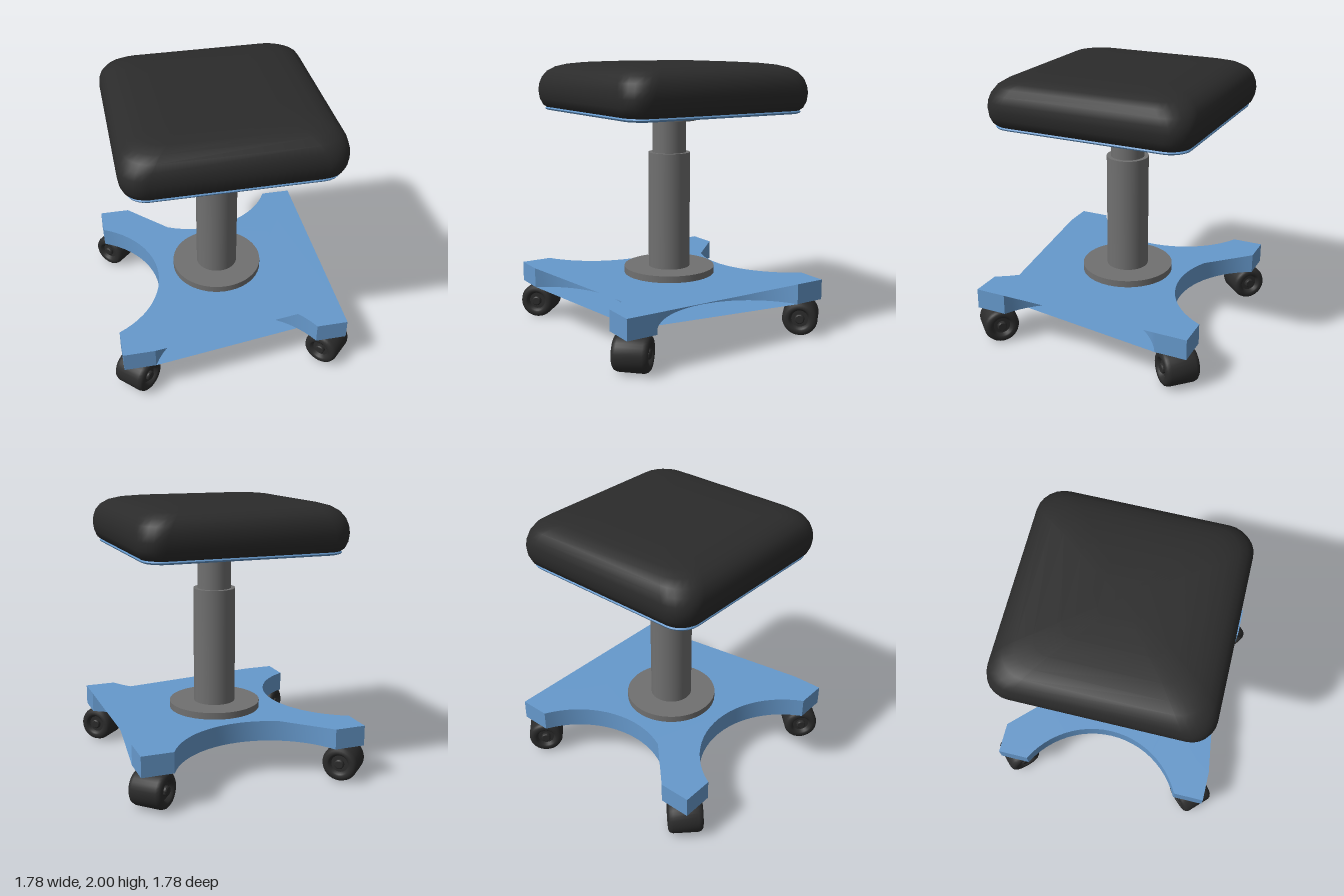
import * as THREE from 'three';
import { toCreasedNormals, mergeVertices } from 'three/addons/utils/BufferGeometryUtils.js';

export function createModel() {
  const model = new THREE.Group();
  const blue = new THREE.MeshStandardMaterial({ color: 0x6699cc, side: THREE.DoubleSide });
  blue.name = 'blue';
  const grey = new THREE.MeshStandardMaterial({ color: 0x707070 });
  grey.name = 'grey';
  const black = new THREE.MeshStandardMaterial({ color: 0x2b2b2b });
  black.name = 'black';

  function add(name, geometry, material, x = 0, y = 0, z = 0) {
    const mesh = new THREE.Mesh(geometry, material);
    mesh.name = name;
    mesh.position.set(x, y, z);
    model.add(mesh);
    return mesh;
  }

  // Base: square plate with a circular bite out of each side
  const E = 0.83, R = 0.67, A = Math.asin(0.6 / R), N = 24;
  const bites = [0, 1, 2, 3].map((side) => {
    const points = [];
    for (let i = 0; i <= N; i++) {
      const a = -A + (2 * A * i) / N;
      let x = R * Math.sin(a), z = E + R * (Math.cos(A) - Math.cos(a));
      for (let k = 0; k < side; k++) [x, z] = [z, -x];
      points.push(new THREE.Vector2(x, z));
    }
    return points;
  });
  const corners = [[E, E], [E, -E], [-E, -E], [-E, E]];
  const outline = bites.flatMap((b, i) => [...b, new THREE.Vector2(...corners[i])]);
  const plate = new THREE.ExtrudeGeometry(new THREE.Shape(outline), { depth: 0.15, bevelEnabled: false });
  plate.rotateX(Math.PI / 2);
  add('basePlate', toCreasedNormals(plate, 0.4), blue, 0, 0.41, 0);

  // Thin webs bridging parts of the bites: side, first and last arc point, height
  const webs = [
    [0, 0, 21, 0.41], [1, 0, N, 0.41], [2, 17, N, 0.41],
    [0, 0, 21, 0.26], [1, 3, N, 0.26],
  ];
  for (const [side, from, to, y] of webs) {
    const web = new THREE.ShapeGeometry(new THREE.Shape(bites[side].slice(from, to + 1)));
    // top webs face up, bottom webs face down
    web.rotateX(Math.PI / 2);
    if (y > 0.3) {
      const index = web.index.array;
      for (let i = 0; i < index.length; i += 3) [index[i], index[i + 1]] = [index[i + 1], index[i]];
      web.computeVertexNormals();
    }
    add('baseWeb', web, blue, 0, y, 0);
  }

  // Casters: rounded wheels with recessed hubs, axles tangential to the base
  const wheelProfile = [
    [0, -0.122], [0.028, -0.122], [0.035, -0.115], [0.035, -0.095], [0.062, -0.095], [0.075, -0.12],
    [0.085, -0.125], [0.108, -0.123], [0.122, -0.112], [0.13, -0.09],
  ];
  const profile = [...wheelProfile, ...wheelProfile.map(([r, h]) => [r, -h]).reverse()]
    .map(([r, h]) => new THREE.Vector2(r, h));
  const wheel = toCreasedNormals(new THREE.LatheGeometry(profile, 32), 0.7);
  wheel.rotateX(Math.PI / 2);
  for (const sx of [-1, 1]) {
    for (const sz of [-1, 1]) {
      const caster = add('casterWheel', wheel, black, sx * 0.725, 0.13, sz * 0.725);
      caster.rotation.y = -sx * sz * Math.PI / 4;
    }
  }

  // Column: name, radius, bottom, top
  const CX = 0.015, CZ = -0.012;
  const stages = [
    ['columnFlange', 0.342, 0.41, 0.46],
    ['outerColumn', 0.156, 0.46, 1.33],
    ['innerColumn', 0.125, 1.33, 1.57],
    ['seatMount', 0.205, 1.57, 1.635],
  ];
  for (const [name, r, y0, y1] of stages) {
    add(name, new THREE.CylinderGeometry(r, r, y1 - y0, 48), grey, CX, (y0 + y1) / 2, CZ);
  }

  // Stack of rounded squares [halfSize, cornerRadius, y], closed at both ends
  function loft(rings) {
    const steps = 6, count = 4 * (steps + 1), position = [], index = [];
    for (const [h, r, y] of rings) {
      for (let q = 0; q < 4; q++) {
        const ox = (q === 0 || q === 3 ? 1 : -1) * (h - r), oz = (q < 2 ? 1 : -1) * (h - r);
        for (let s = 0; s <= steps; s++) {
          const a = (q + s / steps) * Math.PI / 2;
          position.push(ox + r * Math.cos(a), y, oz + r * Math.sin(a));
        }
      }
    }
    const last = (rings.length - 1) * count, bottom = rings.length * count;
    position.push(0, rings[0][2], 0, 0, rings[rings.length - 1][2], 0);
    for (let i = 0; i < count; i++) {
      const j = (i + 1) % count;
      for (let k = 0; k < last; k += count) {
        index.push(k + i, k + count + i, k + j, k + j, k + count + i, k + count + j);
      }
      index.push(bottom, i, j, bottom + 1, last + j, last + i);
    }
    const geometry = new THREE.BufferGeometry();
    geometry.setAttribute('position', new THREE.Float32BufferAttribute(position, 3));
    geometry.setIndex(index);
    return toCreasedNormals(mergeVertices(geometry), 0.8);
  }

  // Seat: thin board under a padded cushion
  add('seatBoard', loft([
    [0.705, 0.13, 1.633], [0.718, 0.14, 1.638], [0.722, 0.14, 1.647], [0.715, 0.14, 1.658],
  ]), blue, CX, 0, CZ);
  add('seatCushion', loft([
    [0.715, 0.14, 1.655], [0.738, 0.15, 1.675], [0.757, 0.16, 1.72], [0.766, 0.17, 1.78], [0.763, 0.18, 1.83],
    [0.75, 0.19, 1.88], [0.72, 0.19, 1.925], [0.67, 0.18, 1.958], [0.6, 0.16, 1.978], [0.5, 0.13, 1.99],
    [0.35, 0.1, 1.998], [0.15, 0.05, 2.0],
  ]), black, CX, 0, CZ);

  return model;
}
